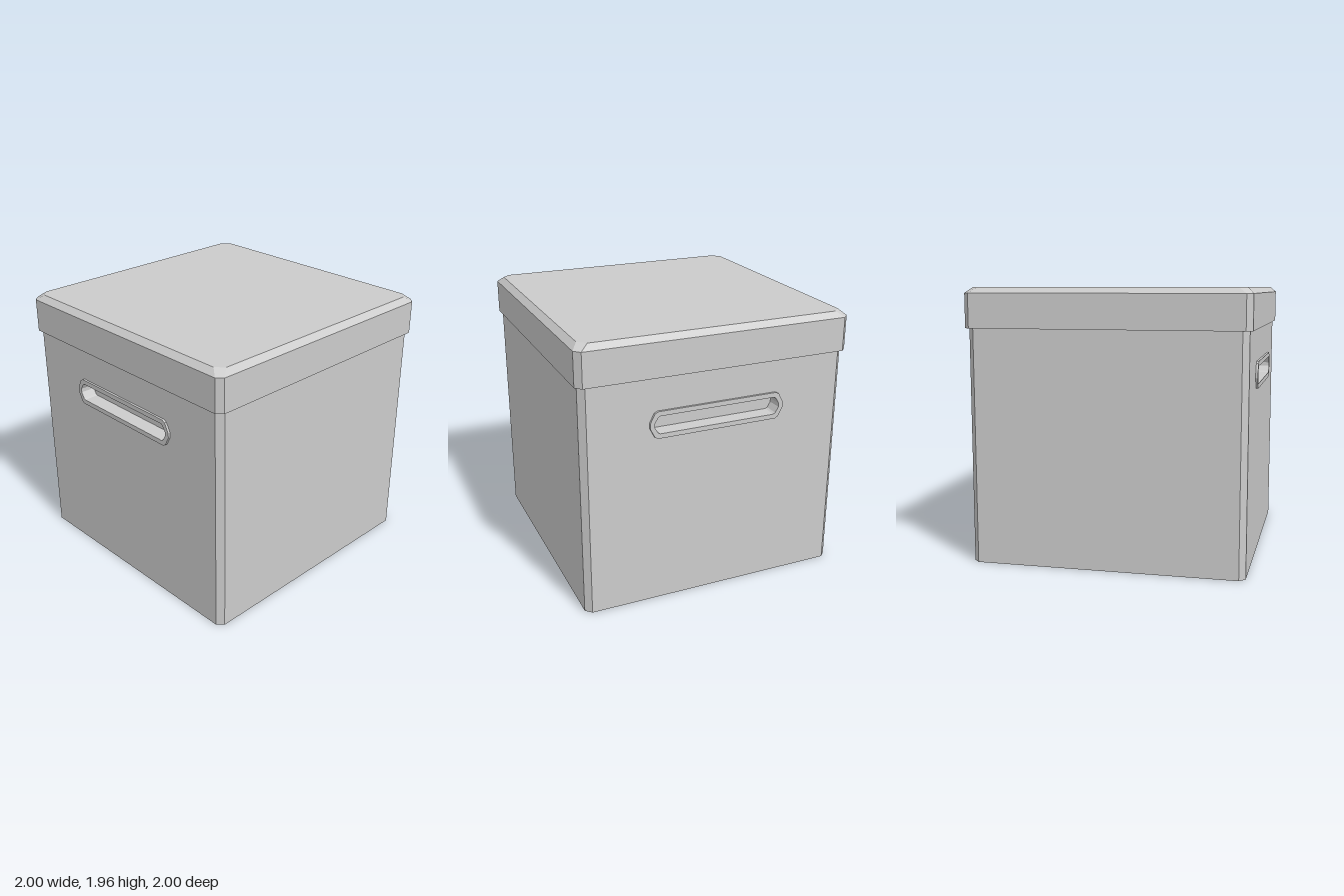
import * as THREE from 'three';

const material = new THREE.MeshStandardMaterial({ color: 0xcccccc, flatShading: true, side: THREE.DoubleSide });

// Square with cut corners at height y, counter-clockwise from above
function cutSquare(half, cut, y) {
  const a = half, b = half - cut;
  return [[a, b], [a, -b], [b, -a], [-b, -a], [-a, -b], [-a, b], [-b, a], [b, a]]
    .map(([x, z]) => new THREE.Vector3(x, y, z));
}

// Skin between successive rings of equal point count; "skip" leaves out sides
function loft(rings, skip = []) {
  const pos = [];
  for (let r = 0; r < rings.length - 1; r++) {
    const lo = rings[r], hi = rings[r + 1], n = lo.length;
    for (let i = 0; i < n; i++) {
      if (skip.includes(i)) continue;
      const j = (i + 1) % n;
      for (const p of [lo[i], lo[j], hi[j], lo[i], hi[j], hi[i]]) pos.push(p.x, p.y, p.z);
    }
  }
  const g = new THREE.BufferGeometry();
  g.setAttribute('position', new THREE.Float32BufferAttribute(pos, 3));
  g.computeVertexNormals();
  return g;
}

// Long slot outline from one quarter, counter-clockwise
function slot(quarter) {
  const rev = [...quarter].reverse();
  return [
    ...quarter,
    ...rev.map(([x, y]) => [-x, y]),
    ...quarter.map(([x, y]) => [-x, -y]),
    ...rev.map(([x, y]) => [x, -y]),
  ].map(([x, y]) => new THREE.Vector2(x, y));
}

function mesh(name, geometry) {
  const m = new THREE.Mesh(geometry, material);
  m.name = name;
  return m;
}

export function createModel() {
  const box = new THREE.Group();
  box.name = 'storageBox';

  const half = 0.978, cut = 0.043, wallTop = 1.9, gripY = 1.342;

  // Thin-walled body, open below; sides 0 and 4 are the grip panels
  box.add(mesh('body', loft([cutSquare(half, cut, 0), cutSquare(half, cut, wallTop)], [0, 4])));

  // Lid: underside lip, skirt and bevelled top edge
  box.add(mesh('lid', loft([
    cutSquare(half, cut, 1.675),
    cutSquare(1, 0.042, 1.675),
    cutSquare(1, 0.042, 1.918),
    cutSquare(0.958, 0.055, 1.958),
  ])));
  const top = new THREE.ShapeGeometry(new THREE.Shape(
    cutSquare(0.958, 0.055, 0).map((p) => new THREE.Vector2(p.x, -p.z))));
  top.rotateX(-Math.PI / 2).translate(0, 1.958, 0);
  box.add(mesh('lidTop', top));

  // Side panels with a raised grip rim and a recessed pocket
  const outer = slot([[0.5, 0.018], [0.466, 0.084], [0.442, 0.097]]);
  const inner = slot([[0.467, 0.014], [0.443, 0.054], [0.428, 0.063]]);
  const deep = slot([[0.462, 0.013], [0.439, 0.051], [0.425, 0.059]]);
  const at = (pts, z) => pts.map((p) => new THREE.Vector3(p.x, p.y, z));
  const w = half - cut;

  for (const side of [1, -1]) {
    const panel = new THREE.Group();
    panel.name = side > 0 ? 'leftSide' : 'rightSide';

    const wall = new THREE.Shape([[-w, -gripY], [w, -gripY], [w, wallTop - gripY], [-w, wallTop - gripY]]
      .map(([x, y]) => new THREE.Vector2(x, y)));
    wall.holes.push(new THREE.Path(outer));
    panel.add(mesh('sideWall', new THREE.ShapeGeometry(wall)));

    panel.add(mesh('gripRim', loft([at(outer, 0), at(outer, 0.016), at(inner, 0.016)])));
    panel.add(mesh('gripPocket', loft([at(inner, 0.016), at(deep, -0.09)])));
    const back = new THREE.ShapeGeometry(new THREE.Shape(deep));
    back.translate(0, 0, -0.09);
    panel.add(mesh('gripBack', back));

    panel.rotation.y = side * Math.PI / 2;
    panel.position.set(side * half, gripY, 0);
    box.add(panel);
  }
  return box;
}
